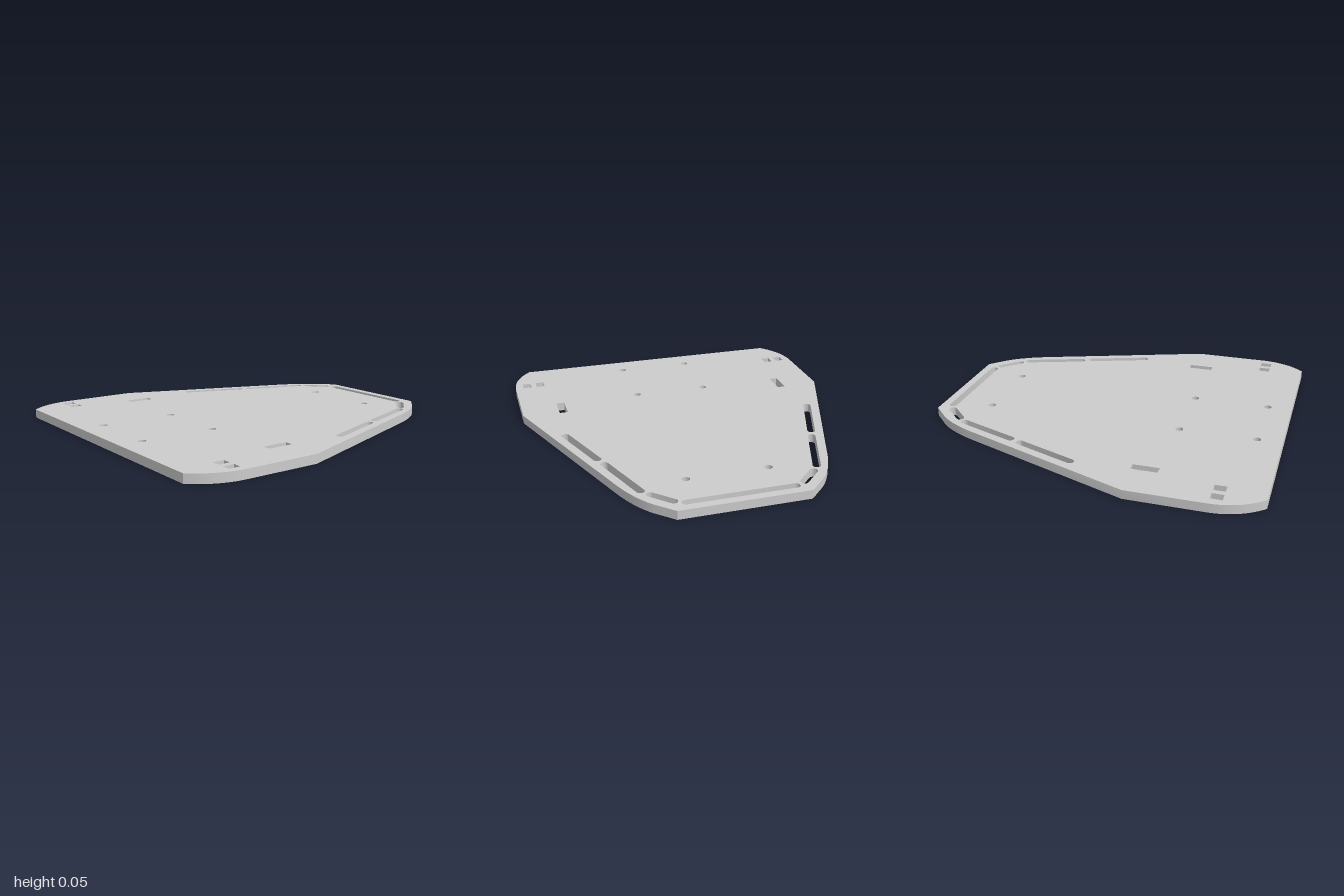
import * as THREE from 'three';
import { toCreasedNormals } from 'three/addons/utils/BufferGeometryUtils.js';

const THICKNESS = 0.05;
const R = 0.022; // radius of slots and round holes

// Round-ended slot between two centres
function slot(x1, z1, x2, z2) {
  const a = Math.atan2(z2 - z1, x2 - x1);
  const p = new THREE.Path();
  p.absarc(x2, z2, R, a - Math.PI / 2, a + Math.PI / 2, false);
  p.absarc(x1, z1, R, a + Math.PI / 2, a + Math.PI * 1.5, false);
  p.closePath();
  return p;
}

function roundHole(x, z) {
  return new THREE.Path().absarc(x, z, R, 0, Math.PI * 2, false);
}

function rectHole(x, z, w, d) {
  return new THREE.Path([[-1, -1], [1, -1], [1, 1], [-1, 1], [-1, -1]].map(
    ([i, j]) => new THREE.Vector2(x + i * w / 2, z + j * d / 2)));
}

export function createModel() {
  const group = new THREE.Group();
  group.name = 'basePlate';

  // Outline drawn in x and z: narrow back, wide rounded front
  const outline = new THREE.Shape();
  outline.moveTo(-0.355, -1);
  outline.lineTo(0.355, -1);
  outline.lineTo(0.44, -0.918);
  outline.quadraticCurveTo(0.52, -0.84, 0.582, -0.68);
  outline.lineTo(0.945, 0.305);
  outline.lineTo(0.945, 0.735);
  outline.quadraticCurveTo(0.94, 0.89, 0.83, 1);
  outline.lineTo(-0.83, 1);
  outline.quadraticCurveTo(-0.94, 0.89, -0.945, 0.735);
  outline.lineTo(-0.945, 0.305);
  outline.lineTo(-0.582, -0.68);
  outline.quadraticCurveTo(-0.52, -0.84, -0.44, -0.918);
  outline.closePath();

  // Long slot along the back edge
  outline.holes.push(slot(-0.291, -0.932, 0.291, -0.932));

  // Mirrored openings
  for (const s of [-1, 1]) {
    outline.holes.push(
      // edge slots
      slot(s * 0.347, -0.906, s * 0.441, -0.812),
      slot(s * 0.48, -0.764, s * 0.598, -0.432),
      slot(s * 0.624, -0.367, s * 0.744, -0.035),
      // screw holes
      roundHole(s * 0.228, -0.71),
      roundHole(s * 0.217, 0.425),
      roundHole(s * 0.217, 0.86),
      // rectangular tab holes
      rectHole(s * 0.705, 0.358, 0.048, 0.145),
      rectHole(s * 0.788, 0.762, 0.05, 0.064),
      rectHole(s * 0.871, 0.762, 0.05, 0.064),
    );
  }

  // Extrude and lay flat
  let geometry = new THREE.ExtrudeGeometry(outline, {
    depth: THICKNESS, bevelEnabled: false, curveSegments: 16,
  });
  geometry.rotateX(Math.PI / 2);
  geometry.translate(0, THICKNESS, 0);
  geometry = toCreasedNormals(geometry, 0.4);

  const plate = new THREE.Mesh(geometry, new THREE.MeshStandardMaterial({ color: 0xcccccc }));
  plate.name = 'slottedPlate';
  group.add(plate);
  return group;
}
